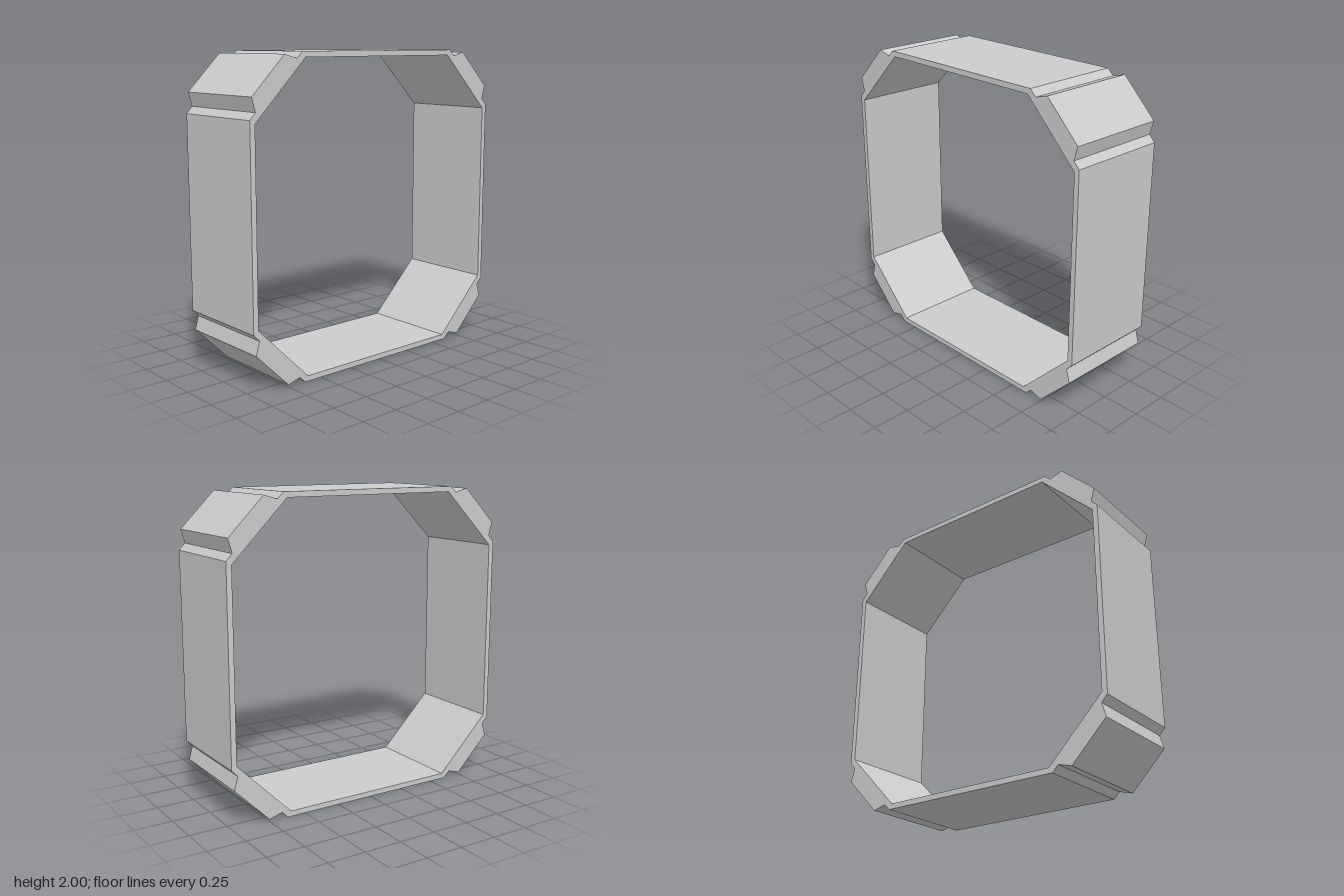
import * as THREE from 'three';

const DEPTH = 0.665;

// Repeat one corner's points around the four quarter turns to form a closed loop
function fourCorners(points) {
  const loop = [];
  for (let i = 0; i < 4; i++) {
    for (const [px, py] of points) {
      let x = px, y = py;
      for (let k = 0; k < i; k++) [x, y] = [-y, x];
      loop.push(new THREE.Vector2(x, y));
    }
  }
  return loop;
}

export function createModel() {
  const group = new THREE.Group();
  group.name = 'octagonalFrame';

  // Outer outline: flat sides with a notched, raised block at each corner
  const shape = new THREE.Shape(fourCorners([
    [1, 0.622], [0.96, 0.664], [0.985, 0.752],
    [0.752, 0.985], [0.664, 0.96], [0.622, 1],
  ]));

  // Inner opening: a square with bevelled corners
  shape.holes.push(new THREE.Path(fourCorners([[0.965, 0.6], [0.6, 0.965]])));

  const geometry = new THREE.ExtrudeGeometry(shape, { depth: DEPTH, bevelEnabled: false });
  geometry.translate(0, 1, -DEPTH / 2);

  const frame = new THREE.Mesh(
    geometry,
    new THREE.MeshStandardMaterial({ color: 0xcccccc, flatShading: true }),
  );
  frame.name = 'frameBand';
  group.add(frame);
  return group;
}
